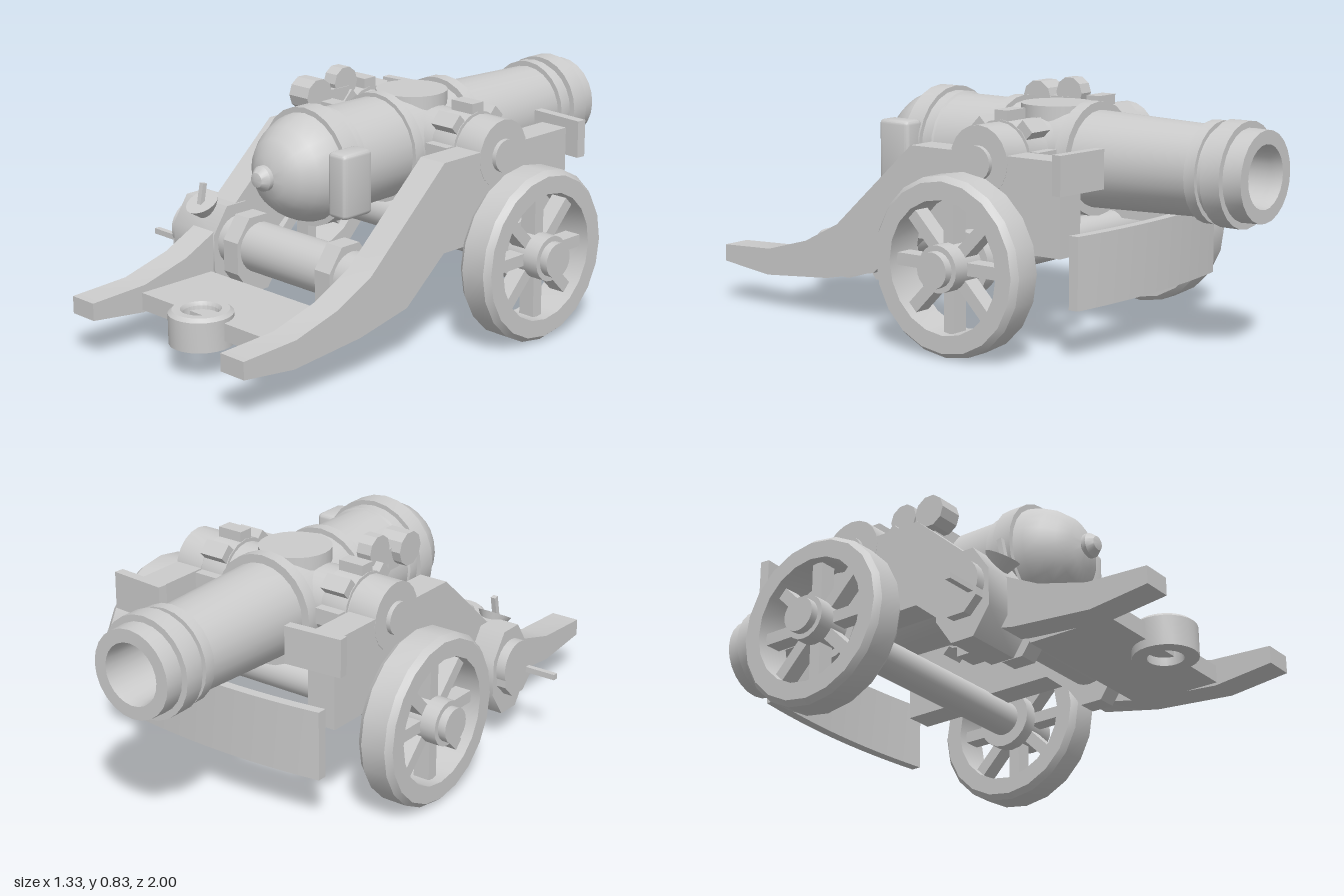
import * as THREE from 'three';
import { toCreasedNormals } from 'three/addons/utils/BufferGeometryUtils.js';
import { RoundedBoxGeometry } from 'three/addons/geometries/RoundedBoxGeometry.js';

const material = new THREE.MeshStandardMaterial({ color: 0xcccccc });

export function createModel() {
  const model = new THREE.Group();
  model.name = 'fieldCannon';

  const add = (name, geo, x = 0, y = 0, z = 0, parent = model) => {
    const mesh = new THREE.Mesh(toCreasedNormals(geo, 0.6), material);
    mesh.name = name;
    mesh.position.set(x, y, z);
    parent.add(mesh);
    return mesh;
  };
  const box = (w, h, d) => new THREE.BoxGeometry(w, h, d);
  // Cylinder lying along x
  const rod = (r, length, sides = 20) => new THREE.CylinderGeometry(r, r, length, sides).rotateZ(-Math.PI / 2);
  const lathe = (points, sides) => new THREE.LatheGeometry(points.map(p => new THREE.Vector2(...p)), sides);
  // Outline in (z, y), extruded along x and centred
  const sideProfile = (points, width) => {
    const shape = new THREE.Shape(points.map(p => new THREE.Vector2(...p)));
    return new THREE.ExtrudeGeometry(shape, { depth: width, bevelEnabled: false })
      .rotateY(-Math.PI / 2).translate(width / 2, 0, 0);
  };

  // Barrel: (radius, distance forward of centre), breech knob to bore bottom
  const barrel = [
    [0, -0.56], [0.025, -0.553], [0.043, -0.53], [0.043, -0.515], [0.03, -0.505],
    [0.075, -0.495], [0.12, -0.465], [0.155, -0.42], [0.178, -0.37], [0.185, -0.335],
    [0.203, -0.335], [0.203, -0.265], [0.187, -0.265], [0.187, -0.225], [0.18, -0.22],
    [0.178, 0], [0.192, 0], [0.192, 0.04], [0.174, 0.04],
    [0.17, 0.31], [0.193, 0.31], [0.193, 0.355], [0.164, 0.355],
    [0.15, 0.8], [0.168, 0.8], [0.168, 0.84], [0.153, 0.84], [0.153, 0.865],
    [0.174, 0.865], [0.174, 0.935], [0.152, 0.935], [0.15, 1],
    [0.105, 1], [0.1, 0.96], [0.1, 0.55], [0, 0.55],
  ];
  add('barrel', lathe(barrel, 24).rotateX(-Math.PI / 2), -0.005, 0.593, 0);
  add('topBoss', new THREE.CylinderGeometry(0.125, 0.125, 0.2, 24), -0.005, 0.67, -0.18);
  add('trunnionSleeve', rod(0.115, 0.62, 24), 0, 0.615, -0.18);
  add('trunnion', rod(0.057, 0.87), 0, 0.613, -0.18);
  add('breechBlock', new RoundedBoxGeometry(0.08, 0.22, 0.13, 2, 0.015), 0.21, 0.583, 0.337);

  // Sight wheels beside the barrel
  add('rearSightWheel', rod(0.06, 0.09, 10), -0.255, 0.75, 0.065);
  add('frontSightWheel', rod(0.055, 0.055, 10), -0.245, 0.775, -0.07);
  add('sightLink', box(0.05, 0.05, 0.16), -0.24, 0.735, 0);
  add('sightArm', box(0.14, 0.05, 0.06), -0.19, 0.705, 0.03);

  // Carriage cheek outline
  const cheek = [
    [1, 0.145], [1, 0.205], [0.78, 0.215], [0.6, 0.265], [0.45, 0.34], [0.35, 0.43],
    [0.11, 0.645], [-0.51, 0.645], [-0.51, 0.335], [0.11, 0.335], [0.285, 0.19],
    [0.5, 0.145], [0.79, 0.12],
  ].reverse();

  for (const [label, s] of [['left', 1], ['right', -1]]) {
    add(label + 'Cheek', sideProfile(cheek, 0.106), s * 0.365, 0, 0);
    add(label + 'TrunnionCap', rod(0.118, 0.108, 20), s * 0.365, 0.618, -0.18);

    // Elevating gear
    const gear = new THREE.Group();
    gear.name = label + 'Gear';
    gear.position.set(s * 0.255, 0.618, -0.18);
    model.add(gear);
    add('gearCore', rod(0.125, 0.1, 16), 0, 0, 0, gear);
    for (let i = 0; i < 8; i++) {
      const tooth = box(0.095, 0.05, 0.055).translate(0, 0.13, 0).rotateX(i * Math.PI / 4);
      add('gearTooth', tooth, 0, 0, 0, gear);
    }

    // Wheel: chamfered rim, hub and eight spokes
    const wheel = new THREE.Group();
    wheel.name = label + 'Wheel';
    wheel.position.set(s * 0.547, 0.297, -0.185);
    model.add(wheel);
    const rim = [[0.22, -0.066], [0.28, -0.066], [0.297, -0.045], [0.297, 0.045],
      [0.28, 0.066], [0.22, 0.066], [0.22, -0.066]];
    add('rim', lathe(rim, 20).rotateZ(-Math.PI / 2), 0, 0, 0, wheel);
    add('hub', rod(0.078, 0.175), 0, 0, 0, wheel);
    add('innerHubCollar', rod(0.105, 0.05), s * -0.065, 0, 0, wheel);
    add('hubCap', rod(0.06, 0.04), s * 0.096, 0, 0, wheel);
    for (let i = 0; i < 8; i++) {
      const spoke = box(0.06, 0.17, 0.042).translate(0, 0.147, 0).rotateX(i * Math.PI / 4);
      add('spoke', spoke, 0, 0, 0, wheel);
    }

    // Front corner guard, swept back slightly at its outer end
    const guard = box(0.21, 0.13, 0.035);
    guard.rotateY(s * -0.08);
    add(label + 'FrontGuard', guard, s * 0.365, 0.61, -0.54);
  }

  add('axle', rod(0.062, 1.1), 0, 0.297, -0.185);

  // Bowed front board
  const board = box(0.79, 0.24, 0.035, 12, 1, 1);
  const bowed = new THREE.BoxGeometry(0.79, 0.24, 0.035, 12, 1, 1);
  const pos = bowed.attributes.position;
  for (let i = 0; i < pos.count; i++) {
    pos.setZ(i, pos.getZ(i) - 0.03 * (1 - (pos.getX(i) / 0.395) ** 2));
  }
  bowed.computeVertexNormals();
  board.dispose();
  add('frontBoard', bowed, 0, 0.29, -0.545);

  // Trail plate and towing ring
  add('trailPlate', box(0.63, 0.06, 0.305), 0, 0.16, 0.643);
  const ring = [[0.06, -0.057], [0.108, -0.057], [0.108, 0.045], [0.095, 0.057],
    [0.068, 0.057], [0.06, 0.045], [0.06, -0.057]];
  add('towingRing', lathe(ring, 24), -0.008, 0.158, 0.8);

  // Winch: drum, octagonal flanges, gearbox and handle
  add('winchDrum', rod(0.088, 0.86, 24), -0.12, 0.28, 0.375);
  const octagon = (r, length) => rod(r, length, 8).rotateX(Math.PI / 8);
  for (const x of [-0.225, 0.22]) add('drumFlange', octagon(0.145, 0.07).scale(1, 1, 0.72), x, 0.258, 0.38);
  add('winchGearbox', octagon(0.167, 0.21).scale(1, 1, 0.68), -0.41, 0.255, 0.375);
  add('winchEndCap', octagon(0.088, 0.04), -0.53, 0.255, 0.375);
  add('winchHandle', box(0.12, 0.02, 0.02), -0.605, 0.245, 0.435);

  // Tilted dial with its lever
  const dial = new THREE.Group();
  dial.name = 'winchDial';
  dial.position.set(-0.4, 0.385, 0.435);
  dial.rotation.x = 0.5;
  model.add(dial);
  add('dialBowl', new THREE.CylinderGeometry(0.06, 0.025, 0.06, 16), 0, 0, 0, dial);
  add('dialLever', box(0.018, 0.075, 0.018).rotateX(-0.7), 0, 0.055, -0.015, dial);

  return model;
}
